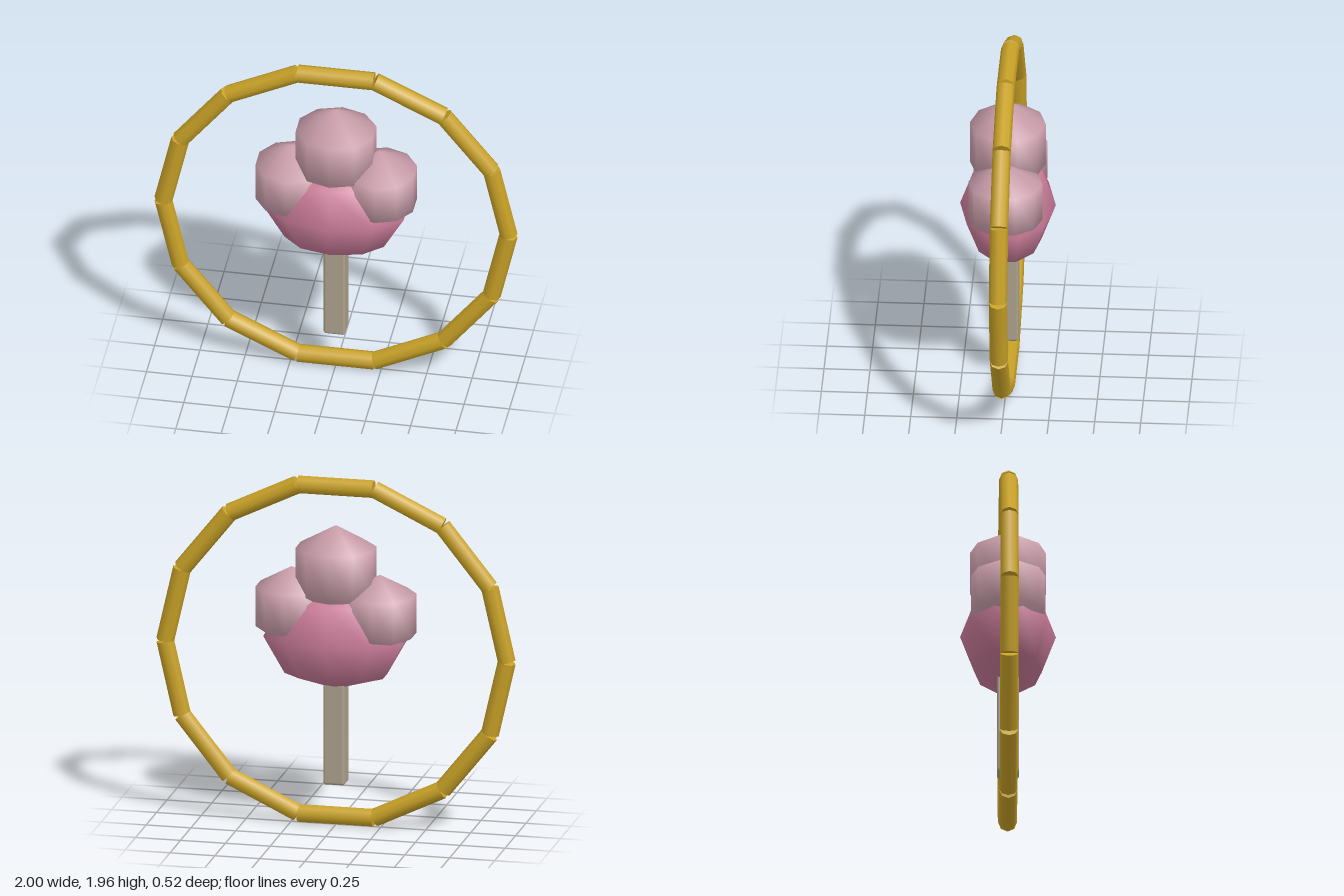
import * as THREE from 'three';
import { RoundedBoxGeometry } from 'three/addons/geometries/RoundedBoxGeometry.js';

export function createModel() {
  const model = new THREE.Group();
  model.name = 'treeInRing';

  const material = (name, color) => {
    const m = new THREE.MeshStandardMaterial({ color });
    m.name = name;
    return m;
  };
  const gold = material('gold', 0xc9a227);
  const rose = material('rose', 0xc97b98);
  const blush = material('paleRose', 0xcb9fac);
  const bark = material('bark', 0xada18c);

  const add = (name, geometry, mat, x, y, z = 0, parent = model) => {
    const mesh = new THREE.Mesh(geometry, mat);
    mesh.name = name;
    mesh.position.set(x, y, z);
    parent.add(mesh);
    return mesh;
  };

  // Ring of straight rods, with a flat rod at top and bottom
  const ring = new THREE.Group();
  ring.name = 'ring';
  model.add(ring);
  const count = 14, radius = 0.928, centreY = 0.978;
  const rod = new THREE.CylinderGeometry(0.05, 0.05, 0.42, 8);
  for (let i = 0; i < count; i++) {
    const a = Math.PI / 2 + (i / count) * Math.PI * 2;
    add('ringSegment', rod, gold, Math.cos(a) * radius, centreY + Math.sin(a) * radius, 0, ring)
      .rotation.z = a;
  }

  // Trunk with softly bevelled edges
  add('trunk', new RoundedBoxGeometry(0.12, 0.6, 0.12, 2, 0.015), bark, 0, 0.535);

  // Low-poly foliage: ten-sided balls with a corner facing front and back
  const ball = (rows, rx, ry, rz) =>
    new THREE.SphereGeometry(1, 10, rows).rotateY(Math.PI / 10).scale(rx, ry, rz);
  add('crown', ball(4, 0.407, 0.293, 0.26), rose, 0, 1.06);
  add('topPuff', ball(3, 0.256, 0.25, 0.237), blush, 0, 1.44);
  add('leftPuff', ball(3, 0.228, 0.222, 0.233), blush, 0.247, 1.22);
  add('rightPuff', ball(3, 0.228, 0.222, 0.233), blush, -0.245, 1.203);

  return model;
}
